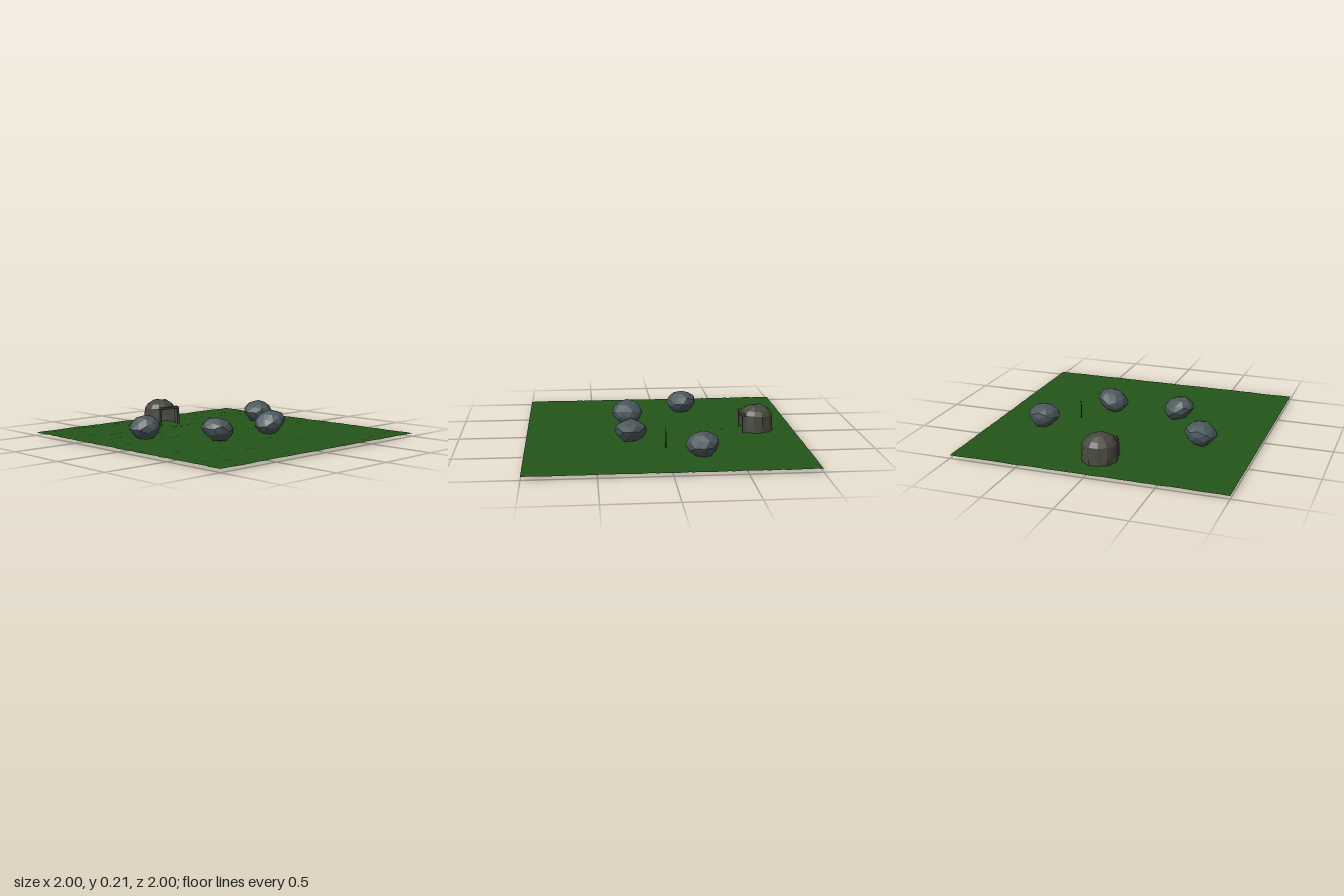
import * as THREE from 'three';
import { mergeVertices } from 'three/addons/utils/BufferGeometryUtils.js';

const GROUND_Y = 0.024;

function seeded(seed) {
  let s = seed;
  return () => {
    s = (s * 16807) % 2147483647;
    return s / 2147483647;
  };
}

const material = (color, side = THREE.FrontSide) =>
  new THREE.MeshStandardMaterial({ color, side, flatShading: true });

function addMesh(parent, name, geometry, mat, x = 0, y = 0, z = 0) {
  const mesh = new THREE.Mesh(geometry, mat);
  mesh.name = name;
  mesh.position.set(x, y, z);
  parent.add(mesh);
  return mesh;
}

// Gently uneven lawn
function groundGeometry() {
  const geo = new THREE.PlaneGeometry(2, 2, 30, 60).rotateX(-Math.PI / 2);
  const rand = seeded(977);
  const p = geo.attributes.position;
  for (let i = 0; i < p.count; i++) p.setY(i, (rand() - 0.5) * 0.004);
  geo.computeVertexNormals();
  return geo;
}

// Faceted boulder: a jittered icosphere bulging to one side, with a flattened base
function boulderGeometry(seed, lean) {
  const ico = new THREE.IcosahedronGeometry(1, 1);
  ico.deleteAttribute('normal');
  ico.deleteAttribute('uv');
  const geo = mergeVertices(ico, 1e-4);
  const rand = seeded(seed);
  const p = geo.attributes.position;
  const v = new THREE.Vector3();
  for (let i = 0; i < p.count; i++) {
    v.fromBufferAttribute(p, i).multiplyScalar(0.94 + rand() * 0.12);
    const tuck = v.y < -0.3 ? 0.92 : 1;
    const y = Math.max(v.y * 0.09 + lean * v.x * 0.022, -0.082);
    p.setXYZ(i, v.x * 0.117 * tuck, y, v.z * 0.117 * tuck);
  }
  geo.computeVertexNormals();
  return geo;
}

// Twelve-sided dome shell with three front segments left open up to the lintel
function domeGeometry() {
  const rings = [[0.13, 0], [0.128, 0.06], [0.122, 0.148], [0.098, 0.183], [0.05, 0.208], [0, 0.214]];
  const sides = 12;
  const rand = seeded(4211);
  const positions = [];
  const index = [];
  rings.forEach(([r, y], k) => {
    for (let i = 0; i < sides; i++) {
      const a = ((i - 1.5) / sides) * Math.PI * 2;
      const rr = r * (0.98 + rand() * 0.04);
      const lift = k > 1 && k < 5 ? (rand() - 0.5) * 0.008 : 0;
      positions.push(Math.sin(a) * rr, y + lift, Math.cos(a) * rr);
    }
  });
  for (let k = 0; k < rings.length - 1; k++) {
    for (let i = 0; i < sides; i++) {
      if (k < 2 && i < 3) continue;
      const a = k * sides + i;
      const b = k * sides + ((i + 1) % sides);
      index.push(a, b, b + sides);
      if (k < rings.length - 2) index.push(a, b + sides, a + sides);
    }
  }
  const geo = new THREE.BufferGeometry();
  geo.setAttribute('position', new THREE.Float32BufferAttribute(positions, 3));
  geo.setIndex(index);
  geo.computeVertexNormals();
  return geo;
}

function createHut() {
  const hut = new THREE.Group();
  hut.name = 'stoneHut';
  const stone = material(0x48493d, THREE.DoubleSide);
  addMesh(hut, 'domeShell', domeGeometry(), stone);
  const floor = new THREE.CircleGeometry(0.128, 12).rotateX(-Math.PI / 2).rotateY(Math.PI / 12);
  addMesh(hut, 'hutFloor', floor, stone, 0, 0.004, 0);

  // Doorway frame
  for (const s of [-1, 1]) {
    const post = addMesh(hut, 'doorPost', new THREE.BoxGeometry(0.022, 0.148, 0.032), stone, s * 0.092, 0.076, 0.1);
    post.rotation.z = s * 0.05;
  }
  addMesh(hut, 'doorLintel', new THREE.BoxGeometry(0.17, 0.018, 0.03), stone, 0, 0.155, 0.11);
  hut.position.set(-0.008, 0, -0.72);
  return hut;
}

// Slender stake with a forked tip
function createStake() {
  const stake = new THREE.Group();
  stake.name = 'forkedStake';
  const wood = material(0x2b2418);
  addMesh(stake, 'stakeShaft', new THREE.CylinderGeometry(0.004, 0.005, 0.112, 6), wood, 0, 0.054, 0);
  for (const s of [-1, 1]) {
    const prong = addMesh(stake, 'stakeProng', new THREE.CylinderGeometry(0.001, 0.0015, 0.04, 4), wood, s * 0.004, 0.128, 0);
    prong.rotation.z = -s * 0.18;
  }
  stake.position.set(0.42, GROUND_Y - 0.002, 0);
  return stake;
}

export function createModel() {
  const model = new THREE.Group();
  model.name = 'stoneCircle';
  addMesh(model, 'ground', groundGeometry(), material(0x24551a, THREE.DoubleSide), 0, GROUND_Y, 0);

  // Boulders: x, z, sideways lean, seed
  const rock = material(0x4a575b);
  const boulders = [
    [-0.585, -0.215, 0.2, 11],
    [-0.287, 0.237, -1, 222],
    [0.247, 0.238, 1, 3333],
    [0.622, -0.237, -0.2, 44444],
  ];
  for (const [x, z, lean, seed] of boulders) {
    addMesh(model, 'boulder', boulderGeometry(seed, lean), rock, x, 0.103, z);
  }

  model.add(createHut(), createStake());

  // Pebble in front of the hut door
  addMesh(model, 'pebble', new THREE.IcosahedronGeometry(0.006, 0), rock, -0.01, GROUND_Y, -0.465);
  return model;
}
